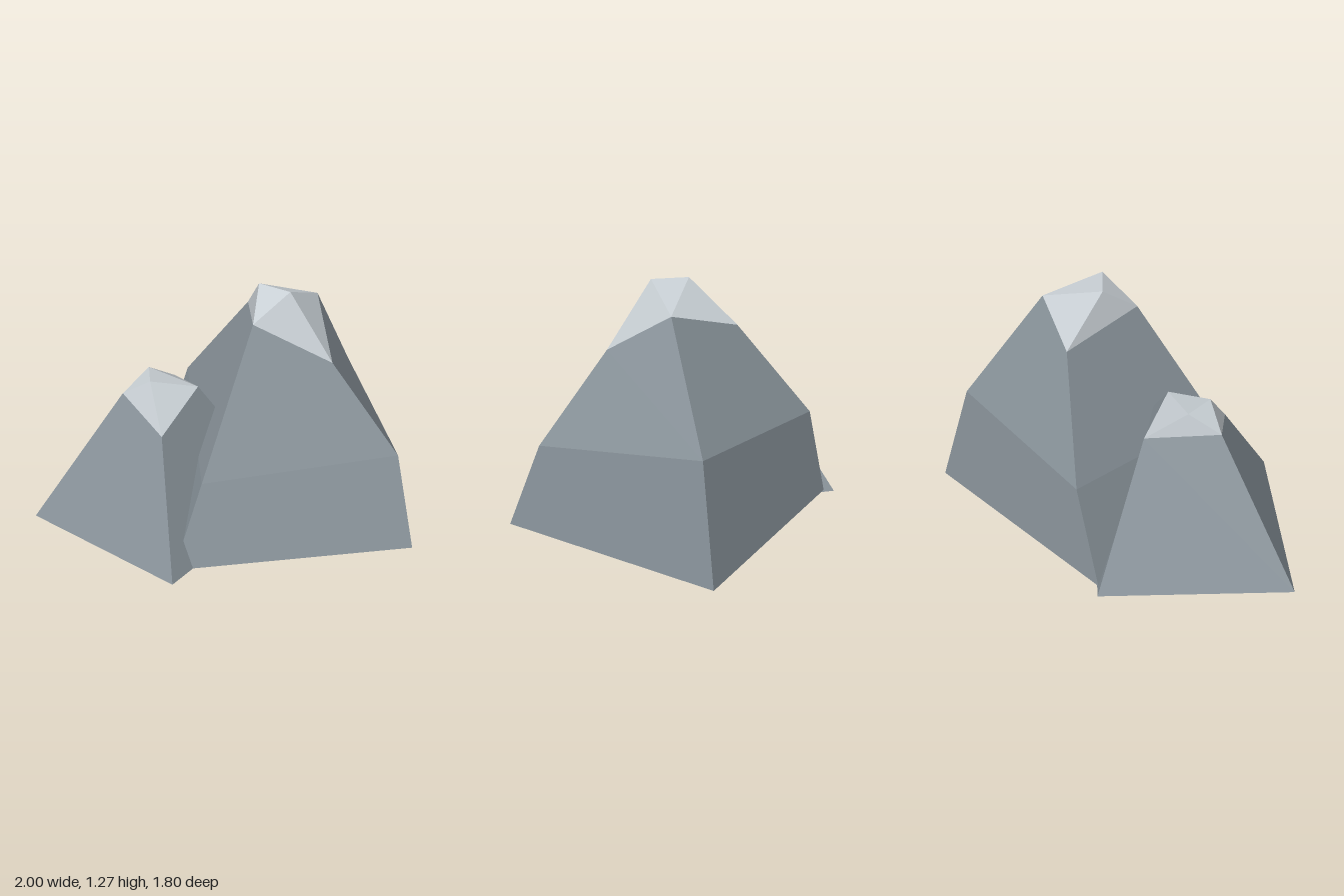
import * as THREE from 'three';

const stone = new THREE.MeshStandardMaterial({ color: 0x869097, side: THREE.DoubleSide });
stone.name = 'stone grey';
const paleStone = new THREE.MeshStandardMaterial({ color: 0xc6cdd2, side: THREE.DoubleSide });
paleStone.name = 'pale peak grey';

// Mesh from three- or four-cornered facets, each with one normal so it shades evenly
function facetMesh(name, facets, material) {
  const positions = [], normals = [];
  for (const facet of facets) {
    const [a, b, c, d] = facet.map((corner) => new THREE.Vector3(...corner));
    const normal = d
      ? c.clone().sub(a).cross(d.clone().sub(b)).normalize()
      : b.clone().sub(a).cross(c.clone().sub(a)).normalize();
    for (const v of d ? [a, b, d, b, c, d] : [a, b, c]) {
      positions.push(v.x, v.y, v.z);
      normals.push(normal.x, normal.y, normal.z);
    }
  }
  const geometry = new THREE.BufferGeometry();
  geometry.setAttribute('position', new THREE.Float32BufferAttribute(positions, 3));
  geometry.setAttribute('normal', new THREE.Float32BufferAttribute(normals, 3));
  const mesh = new THREE.Mesh(geometry, material);
  mesh.name = name;
  return mesh;
}

// Sloping walls between successive four-cornered rings, open underneath
function slopes(rings) {
  const walls = [];
  for (let r = 0; r < rings.length - 1; r++) {
    const low = rings[r], high = rings[r + 1];
    for (let i = 0; i < 4; i++) {
      const j = (i + 1) % 4;
      walls.push([low[i], low[j], high[j], high[i]]);
    }
  }
  return walls;
}

// Faceted peak: the last ring rises to a short ridge from p to q
function peakFacets([a, b, c, d], p, q) {
  return [[a, b, p], [b, c, p], [c, q, p], [c, d, q], [d, a, q], [a, p, q]];
}

function mountain(name, rings, ridge) {
  const group = new THREE.Group();
  group.name = name;
  group.add(facetMesh(name + 'Slopes', slopes(rings), stone));
  group.add(facetMesh(name + 'Peak', peakFacets(rings[rings.length - 1], ...ridge), paleStone));
  return group;
}

export function createModel() {
  const model = new THREE.Group();
  model.name = 'rockyMountains';

  // Tall mountain: foot, shoulder and snow line (corners left, front, right, back)
  model.add(mountain('tallMountain', [
    [[-0.757, 0, 0.163], [0.265, 0, 0.9], [1, 0.01, -0.11], [-0.01, 0.01, -0.84]],
    [[-0.52, 0.4, 0.126], [0.32, 0.47, 0.72], [0.825, 0.59, -0.07], [0.11, 0.54, -0.71]],
    [[-0.09, 1.13, 0.06], [0.18, 0.93, 0.365], [0.4, 1.16, 0.05], [0.215, 1.06, -0.295]],
  ], [[0.1, 1.275, 0.135], [0.07, 1.275, -0.06]]));

  // Small mountain, partly buried in the tall one
  model.add(mountain('smallMountain', [
    [[-1, 0, -0.74], [-0.835, 0, 0.245], [0.16, 0, 0.09], [-0.015, 0, -0.9]],
    [[-0.57, 0.73, -0.43], [-0.58, 0.605, -0.105], [-0.28, 0.765, -0.16], [-0.19, 0.69, -0.46]],
  ], [[-0.5, 0.83, -0.28], [-0.4, 0.83, -0.415]]));

  return model;
}
